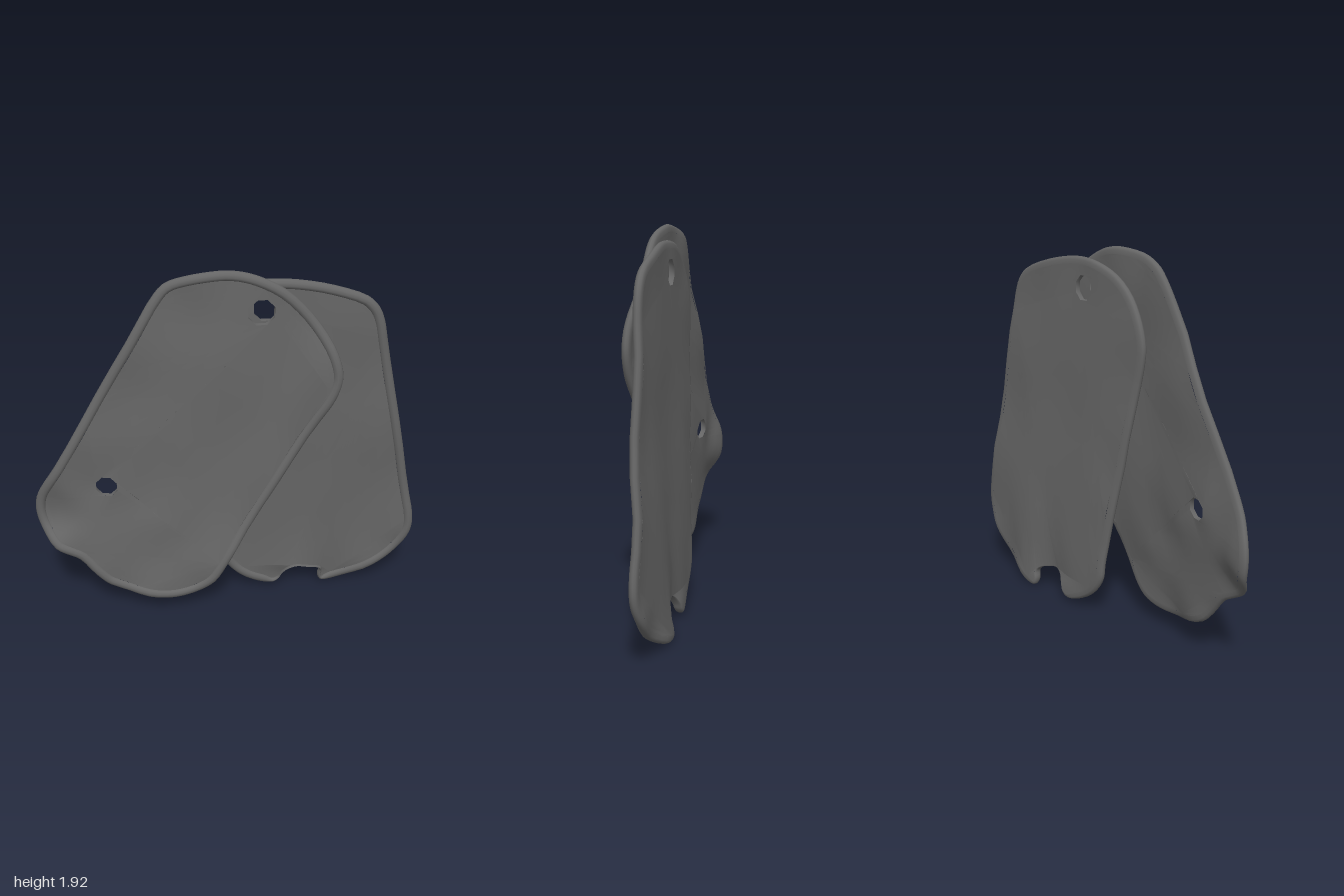
import * as THREE from 'three';
import { mergeVertices } from 'three/addons/utils/BufferGeometryUtils.js';

const metal = new THREE.MeshStandardMaterial({ color: 0x666666 });
metal.name = 'dark grey metal';

const THICK = 0.026;
// rim cross-section: [inset from the outline, height above the plate]
const RIM = [[0.048, 0], [0.043, 0.01], [0.03, 0.016], [0.015, 0.013], [0.004, 0.004],
  [0, -0.007], [0.004, -0.018], [0.016, -0.025], [0.036, -THICK]];

// smooth height field through a few bend points [x, y, z]
function bendField(points) {
  return (x, y) => {
    let sum = 0, total = 0;
    for (const [px, py, pz] of points) {
      const w = 1 / Math.pow((x - px) ** 2 + (y - py) ** 2 + 0.004, 1.5);
      sum += w * pz;
      total += w;
    }
    return sum / total;
  };
}

// closed smooth outline, counter-clockwise
function smoothOutline(points) {
  const curve = new THREE.CatmullRomCurve3(points.map(([x, y]) => new THREE.Vector3(x, y, 0)), true, 'centripetal');
  const out = curve.getPoints(points.length * 3).slice(0, -1).map(p => new THREE.Vector2(p.x, p.y));
  return THREE.ShapeUtils.isClockWise(out) ? out.reverse() : out;
}

// shift every outline point inwards
function inset(outline, amount, narrow) {
  const n = outline.length;
  return outline.map((p, i) => {
    const t = outline[(i + 1) % n].clone().sub(outline[(i + n - 1) % n]).normalize();
    const d = amount * narrow(p);
    return new THREE.Vector2(p.x - t.y * d, p.y + t.x * d);
  });
}

// sweep a cross-section along a closed outline
function sweep(outline, profile, narrow, bend) {
  const pos = [], index = [], n = outline.length;
  for (const [d, h] of profile) {
    for (const p of inset(outline, d, narrow)) pos.push(p.x, p.y, bend(p.x, p.y) + h);
  }
  for (let j = 0; j < profile.length - 1; j++) {
    for (let i = 0; i < n; i++) {
      const k = (i + 1) % n;
      const a = j * n + i, b = j * n + k, c = a + n, d = b + n;
      index.push(a, c, b, b, c, d);
    }
  }
  const g = new THREE.BufferGeometry();
  g.setAttribute('position', new THREE.Float32BufferAttribute(pos, 3));
  g.setIndex(index);
  g.computeVertexNormals();
  return g;
}

// flat sheet with holes, subdivided and then bent
function sheet(outline, holes, height, bend, facingBack) {
  const shape = new THREE.Shape(outline);
  shape.holes = holes.map(h => new THREE.Path(h));
  let pos = Array.from(new THREE.ShapeGeometry(shape).toNonIndexed().attributes.position.array);
  for (let level = 0; level < 3; level++) {
    const next = [];
    for (let i = 0; i < pos.length; i += 9) {
      const [a, b, c] = [0, 3, 6].map(o => [pos[i + o], pos[i + o + 1], 0]);
      const mid = (p, q) => [(p[0] + q[0]) / 2, (p[1] + q[1]) / 2, 0];
      const ab = mid(a, b), bc = mid(b, c), ca = mid(c, a);
      next.push(...a, ...ab, ...ca, ...ab, ...b, ...bc, ...ca, ...bc, ...c, ...ab, ...bc, ...ca);
    }
    pos = next;
  }
  for (let i = 0; i < pos.length; i += 3) pos[i + 2] = bend(pos[i], pos[i + 1]) + height;
  let g = new THREE.BufferGeometry();
  g.setAttribute('position', new THREE.Float32BufferAttribute(pos, 3));
  g = mergeVertices(g, 1e-5);
  if (facingBack) g.setIndex(Array.from(g.index.array).reverse());
  g.computeVertexNormals();
  return g;
}

// clockwise octagonal hole
function octagon([x, y, r]) {
  return Array.from({ length: 8 }, (_, i) => {
    const a = -(i + 0.5) * Math.PI / 4;
    return new THREE.Vector2(x + r * Math.cos(a), y + r * Math.sin(a));
  });
}

function makeTag(name, { points, holes, bends, narrow = () => 1 }) {
  const tag = new THREE.Group();
  tag.name = name;
  const add = (part, geometry) => {
    const mesh = new THREE.Mesh(geometry, metal);
    mesh.name = part;
    tag.add(mesh);
  };
  const outline = smoothOutline(points);
  const bend = bendField(bends);
  const openings = holes.map(octagon);
  add('rim', sweep(outline, RIM, narrow, bend));
  add('frontFace', sheet(inset(outline, RIM[0][0], narrow), openings, 0, bend, false));
  add('backFace', sheet(inset(outline, RIM[8][0], narrow), openings, -THICK, bend, true));
  for (const hole of openings) add('holeWall', sweep(hole, [[0, 0], [0, -THICK]], () => 1, bend));
  return tag;
}

export function createModel() {
  const model = new THREE.Group();
  model.name = 'tagPair';

  // front tag, leaning right, with a dented lower corner and a puncture
  model.add(makeTag('frontTag', {
    points: [[-0.38, 1.79], [-0.32, 1.86], [-0.22, 1.9], [-0.1, 1.917], [0, 1.917], [0.12, 1.89],
      [0.25, 1.82], [0.38, 1.69], [0.48, 1.54], [0.522, 1.43], [0.53, 1.35], [0.5, 1.25], [0.44, 1.14],
      [0.23, 0.77], [0.02, 0.4], [-0.04, 0.295], [-0.1, 0.2], [-0.18, 0.14], [-0.27, 0.112], [-0.36, 0.108],
      [-0.5, 0.13], [-0.65, 0.185], [-0.72, 0.255], [-0.8, 0.355], [-0.85, 0.385], [-0.92, 0.43],
      [-0.98, 0.53], [-1, 0.62], [-0.99, 0.71], [-0.95, 0.8], [-0.89, 0.9], [-0.66, 1.3], [-0.44, 1.69]],
    holes: [[0.135, 1.71, 0.068], [-0.635, 0.775, 0.056]],
    bends: [[-1, 0.62, -0.1], [-0.69, 1.25, -0.03], [-0.38, 1.8, 0.005], [-0.1, 1.92, 0.035],
      [0.25, 1.82, 0.06], [0.53, 1.34, 0.115], [0.25, 0.8, 0.075], [-0.04, 0.29, 0.095],
      [-0.33, 0.11, 0.07], [-0.7, 0.22, 0.005], [-0.85, 0.38, -0.01], [-0.2, 1, 0.035],
      [0.1, 1.4, 0.06], [-0.3, 0.55, 0.045], [-0.7, 0.78, -0.045], [-0.57, 0.75, -0.01]]
  }));

  // rear tag, leaning left, with a bite out of its lower edge
  model.add(makeTag('rearTag', {
    points: [[0.72, 1.68], [0.66, 1.74], [0.5, 1.8], [0.32, 1.84], [0.2, 1.85], [0.08, 1.84], [-0.06, 1.79],
      [-0.17, 1.7], [-0.24, 1.59], [-0.27, 1.48], [-0.265, 1.4], [-0.24, 1.28], [-0.15, 0.85], [-0.06, 0.42],
      [-0.04, 0.3], [-0.03, 0.22], [0.02, 0.14], [0.1, 0.075], [0.2, 0.03], [0.25, 0.028], [0.28, 0.055],
      [0.295, 0.09], [0.33, 0.135], [0.37, 0.15], [0.42, 0.138], [0.48, 0.118], [0.507, 0.09], [0.5, 0.05],
      [0.512, 0.012], [0.55, 0.003], [0.65, 0.03], [0.8, 0.11], [0.9, 0.185], [0.965, 0.27], [0.997, 0.36],
      [0.995, 0.45], [0.97, 0.57], [0.87, 1.05], [0.77, 1.52], [0.75, 1.61]],
    holes: [[0.17, 1.7, 0.066]],
    bends: [[-0.27, 1.42, -0.03], [0, 1.82, -0.015], [0.3, 1.84, 0], [0.7, 1.68, 0.01], [0.87, 1.05, 0],
      [1, 0.4, -0.02], [0.85, 0.15, -0.04], [0.55, 0, -0.095], [0.25, 0.03, -0.09], [-0.03, 0.2, -0.085],
      [0, 0.6, -0.07], [-0.15, 0.85, -0.05], [0.4, 1.1, -0.02], [0.38, 0.2, -0.045], [0.4, 0.6, -0.045],
      [0.2, 0.35, -0.08], [0.55, 0.3, -0.07]],
    // the rim fades out at the bite
    narrow: p => THREE.MathUtils.clamp((Math.hypot(p.x - 0.385, p.y - 0.09) - 0.08) / 0.13, 0.15, 1)
  }));
  return model;
}
